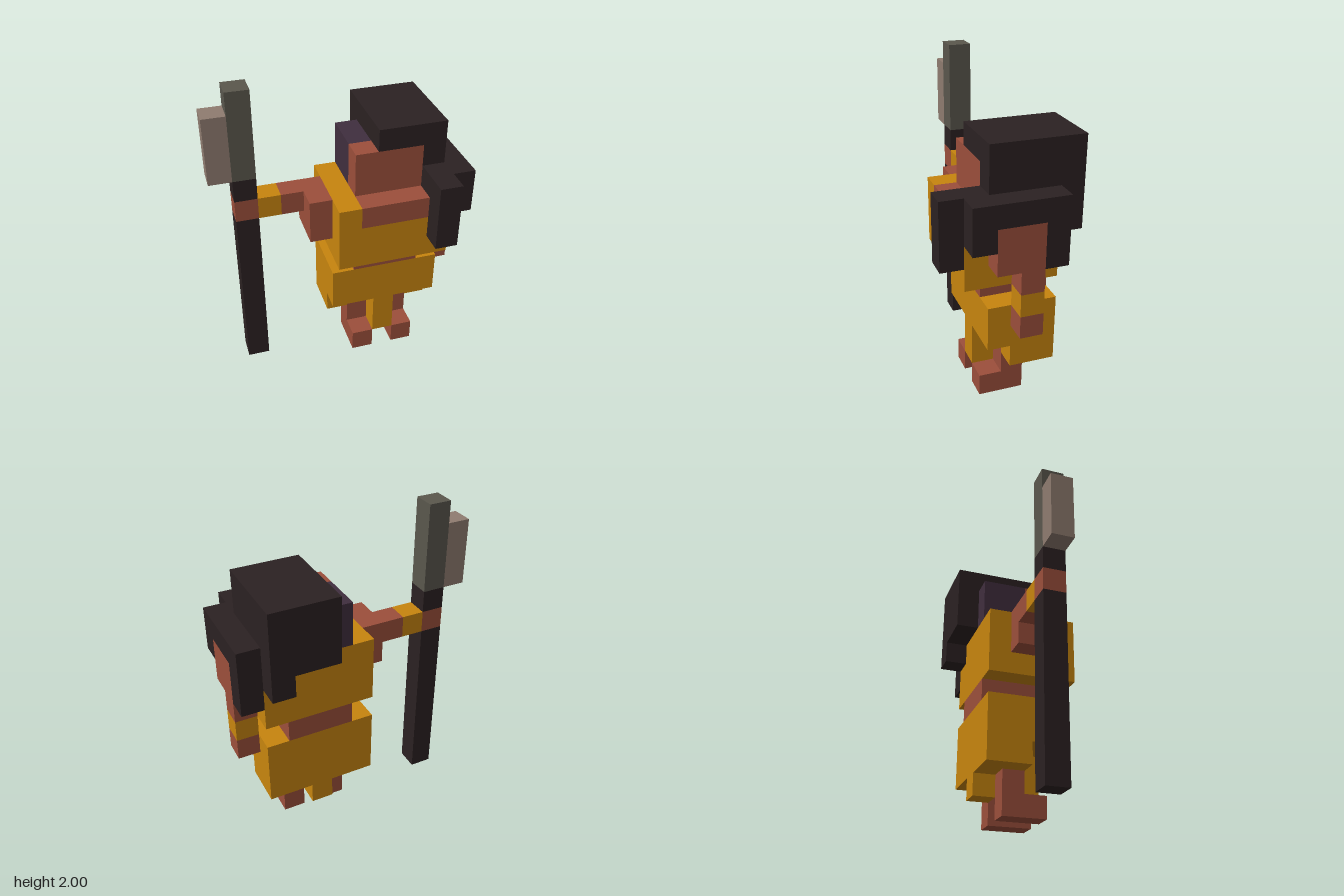
import * as THREE from 'three';

const U = 1 / 7; // edge of one block

const mat = (name, color) => {
  const m = new THREE.MeshStandardMaterial({ color });
  m.name = name;
  return m;
};

export function createModel() {
  const skin = mat('skin', 0x9c4f3b);
  const cloth = mat('ochre cloth', 0xc8850e);
  const dark = mat('dark hair and wood', 0x2b2122);
  const violet = mat('violet hair', 0x402e3e);
  const stone = mat('grey stone', 0x5a574d);
  const pale = mat('pale stone', 0x8f7c70);

  const model = new THREE.Group();
  model.name = 'staffBearer';
  const part = (name) => {
    const g = new THREE.Group();
    g.name = name;
    model.add(g);
    return g;
  };
  // Block between two grid corners: x 0..11 from the model's right, y 0..14, z -3..3
  const block = (group, name, material, [x0, y0, z0], [x1, y1, z1]) => {
    const mesh = new THREE.Mesh(
      new THREE.BoxGeometry((x1 - x0) * U, (y1 - y0) * U, (z1 - z0) * U), material);
    mesh.position.set(((x0 + x1) / 2 - 5.5) * U, (y0 + y1) / 2 * U, (z0 + z1) / 2 * U);
    mesh.name = name;
    group.add(mesh);
  };

  // Staff with a two-stone head, gripped by the right hand
  const staff = part('staff');
  block(staff, 'lowerShaft', dark, [1, 0, -1], [2, 8, 0]);
  block(staff, 'upperShaft', dark, [1, 9, -1], [2, 10, 0]);
  block(staff, 'staffHead', stone, [1, 10, -1], [2, 14, 0]);
  block(staff, 'staffBlade', pale, [0, 10, -1], [1, 13, 0]);

  // Right arm, stretched out sideways
  const rightArm = part('rightArm');
  block(rightArm, 'hand', skin, [1, 8, -1], [2, 9, 0]);
  block(rightArm, 'bracelet', cloth, [2, 8, -1], [3, 9, 0]);
  block(rightArm, 'forearm', skin, [3, 8, -1], [4, 9, 0]);
  block(rightArm, 'shoulder', skin, [4, 7, -1], [5, 9, 1]);

  // Left arm, hanging
  const leftArm = part('leftArm');
  block(leftArm, 'shoulder', skin, [10, 7, -1], [11, 9, 1]);
  block(leftArm, 'forearm', skin, [10, 6, -1], [11, 7, 0]);
  block(leftArm, 'bracelet', cloth, [10, 5, -1], [11, 6, 0]);
  block(leftArm, 'hand', skin, [10, 4, -1], [11, 5, 0]);

  // Legs and feet
  for (const [name, x] of [['rightLeg', 6], ['leftLeg', 8]]) {
    const leg = part(name);
    block(leg, 'shin', skin, [x, 1, -1], [x + 1, 3, 0]);
    block(leg, 'foot', skin, [x, 0, -1], [x + 1, 1, 1]);
  }

  // Skirt with side, front and back flaps
  const skirt = part('skirt');
  block(skirt, 'skirtBand', cloth, [5, 3, -2], [10, 5, 1]);
  block(skirt, 'backPanel', cloth, [5, 2, -2], [10, 3, -1]);
  for (const x of [5, 9]) block(skirt, 'sideFlap', cloth, [x, 2, -1], [x + 1, 3, 0]);
  block(skirt, 'frontFlap', cloth, [7, 1, 0], [8, 3, 1]);
  block(skirt, 'backFlap', cloth, [7, 1, -2], [8, 2, -1]);

  // Waist and tunic with an open neckline
  const torso = part('torso');
  block(torso, 'waist', skin, [6, 5, -2], [9, 6, 1]);
  block(torso, 'tunic', cloth, [5, 6, -2], [10, 8, 2]);
  block(torso, 'tunicBack', cloth, [6, 8, -2], [9, 9, 1]);
  for (const x of [5, 9]) block(torso, 'shoulderStrap', cloth, [x, 8, -2], [x + 1, 9, 2]);
  block(torso, 'neckline', skin, [6, 8, 1], [9, 9, 2]);

  // Head and hair
  const head = part('head');
  block(head, 'face', skin, [6, 9, 0], [9, 11, 1]);
  block(head, 'shavedSide', violet, [6, 9, -2], [7, 11, 0]);
  const hair = part('hair');
  block(hair, 'hairCap', dark, [7, 11, -3], [10, 12, 1]);
  block(hair, 'hairBack', dark, [7, 9, -3], [9, 11, 0]);
  block(hair, 'hairLeft', dark, [9, 9, -3], [10, 11, 1]);
  block(hair, 'napeLock', dark, [9, 8, -3], [10, 9, -2]);
  block(hair, 'sideFringe', dark, [10, 9, -2], [11, 10, 2]);
  block(hair, 'rearSideLock', dark, [10, 7, -2], [11, 9, -1]);
  block(hair, 'frontSideLock', dark, [10, 8, 1], [11, 9, 2]);
  block(hair, 'templeHair', dark, [9, 9, 1], [10, 10, 2]);
  block(hair, 'frontLock', dark, [9, 7, 2], [10, 10, 3]);

  return model;
}
